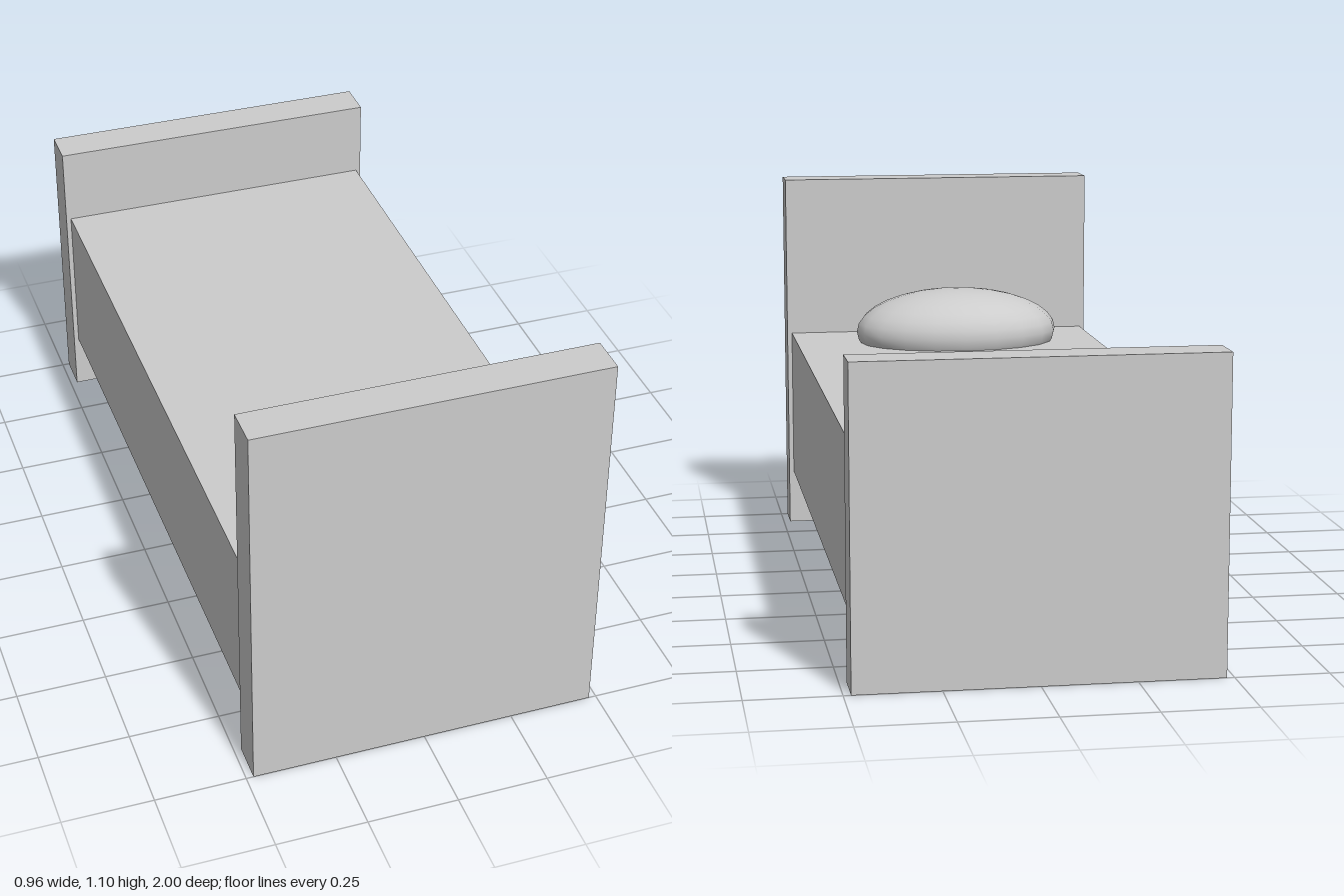
import * as THREE from 'three';

export function createModel() {
  const bed = new THREE.Group();
  bed.name = 'bed';
  const material = new THREE.MeshStandardMaterial({ color: 0xcccccc });

  // Box given by its width, vertical range and z range
  const addBox = (name, width, y0, y1, z0, z1) => {
    const mesh = new THREE.Mesh(new THREE.BoxGeometry(width, y1 - y0, z1 - z0), material);
    mesh.name = name;
    mesh.position.set(0, (y0 + y1) / 2, (z0 + z1) / 2);
    bed.add(mesh);
  };

  // End boards standing on the floor, with the mattress between them
  addBox('headboard', 0.96, 0, 1.103, 0.89, 1);
  addBox('footboard', 0.96, 0, 0.84, -1, -0.89);
  addBox('mattress', 0.932, 0.165, 0.615, -0.89, 0.89);

  // Flattened oval pillow, sunk slightly into the mattress
  const pillow = new THREE.Mesh(new THREE.SphereGeometry(1, 20, 16), material);
  pillow.name = 'pillow';
  pillow.scale.set(0.312, 0.13, 0.216);
  pillow.position.set(-0.03, 0.65, 0.665);
  bed.add(pillow);

  return bed;
}
